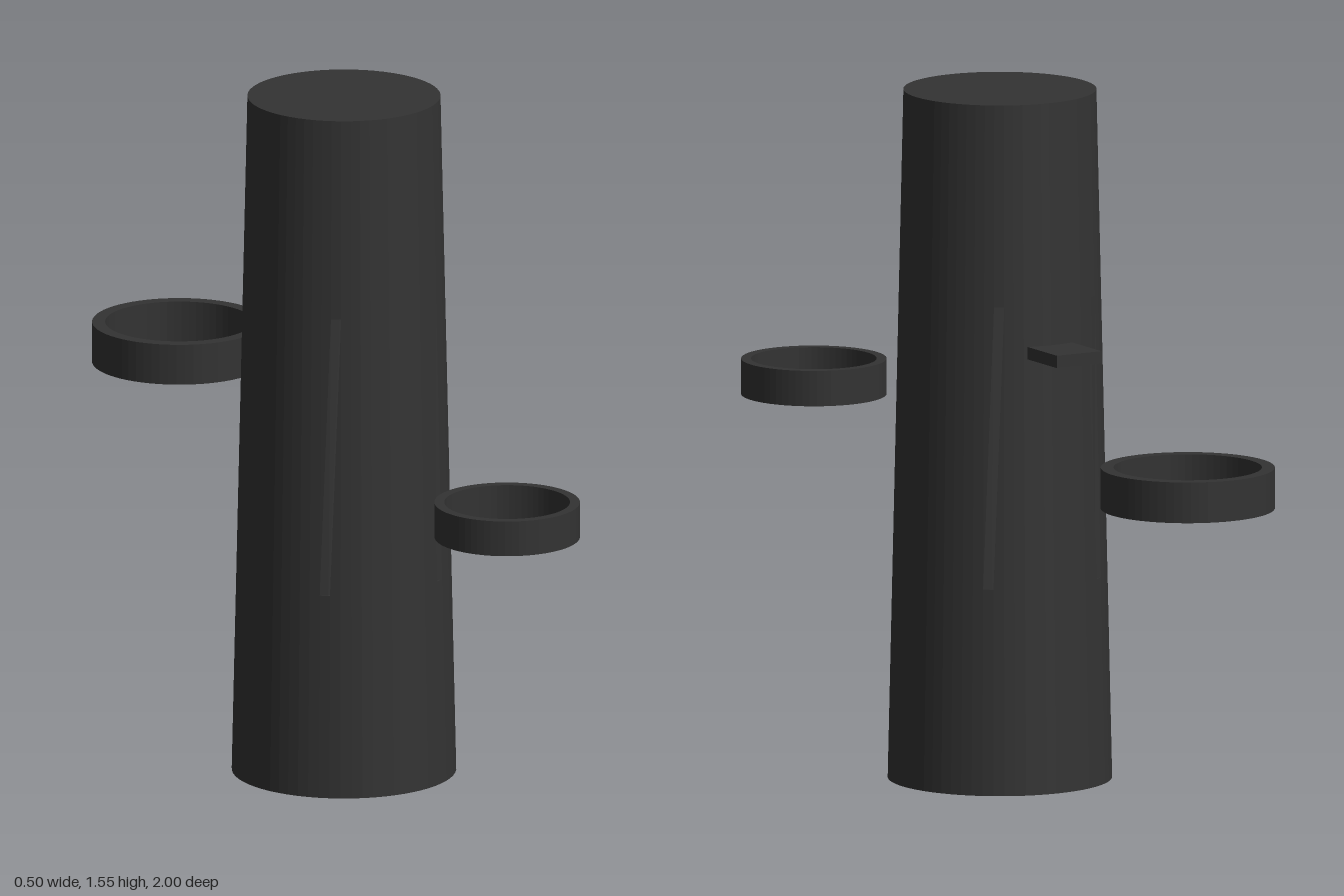
import * as THREE from 'three';

const HEIGHT = 1.555, SEGMENTS = 64;
const radiusAt = (y) => 0.25 - 0.035 * (y / HEIGHT);

// Slice of the tapered column from y0 to y1, kept between two planes in z
function columnSlice(y0, y1, zMin = -1, zMax = 1) {
  const geometry = new THREE.CylinderGeometry(1, 1, 1, SEGMENTS);
  const p = geometry.attributes.position;
  for (let i = 0; i < p.count; i++) {
    const y = p.getY(i) > 0 ? y1 : y0;
    const r = radiusAt(y);
    const z = THREE.MathUtils.clamp(p.getZ(i) * r, zMin, zMax);
    const limit = Math.sqrt(Math.max(0, r * r - z * z));
    const x = THREE.MathUtils.clamp(p.getX(i) * r, -limit, limit);
    p.setXYZ(i, x, y, z);
  }
  geometry.computeVertexNormals();
  return geometry;
}

// Flat band with a rectangular section
function bandGeometry(inner, outer, height) {
  const h = height / 2;
  const profile = [[inner, -h], [outer, -h], [outer, h], [inner, h], [inner, -h]];
  return new THREE.LatheGeometry(profile.map(([x, y]) => new THREE.Vector2(x, y)), SEGMENTS);
}

export function createModel() {
  const model = new THREE.Group();
  const material = new THREE.MeshStandardMaterial({ color: 0x333333, flatShading: true });
  const add = (parent, name, geometry, x = 0, y = 0, z = 0) => {
    const mesh = new THREE.Mesh(geometry, material);
    mesh.name = name;
    mesh.position.set(x, y, z);
    parent.add(mesh);
  };

  // Tapered column, with two narrow slots running through it from side to side
  const column = new THREE.Group();
  column.name = 'column';
  column.position.z = 0.02;
  model.add(column);
  const slotBottom = 0.465, slotTop = 1.1, slotNear = 0.191, slotFar = 0.199;
  add(column, 'columnBase', columnSlice(0, slotBottom));
  add(column, 'columnCore', columnSlice(slotBottom, slotTop, -slotNear, slotNear));
  add(column, 'frontStrip', columnSlice(slotBottom, slotTop, slotFar, 1));
  add(column, 'backStrip', columnSlice(slotBottom, slotTop, -1, -slotFar));
  add(column, 'columnTop', columnSlice(slotTop, HEIGHT));

  // Tab on the back
  add(model, 'backTab', new THREE.BoxGeometry(0.115, 0.028, 0.15), 0, 0.996, -0.253);

  // Loose rings in front and behind
  add(model, 'frontRing', bandGeometry(0.14, 0.162, 0.08), 0, 0.78, 0.838);
  add(model, 'backRing', bandGeometry(0.165, 0.194, 0.092), 0, 0.78, -0.806);

  return model;
}
